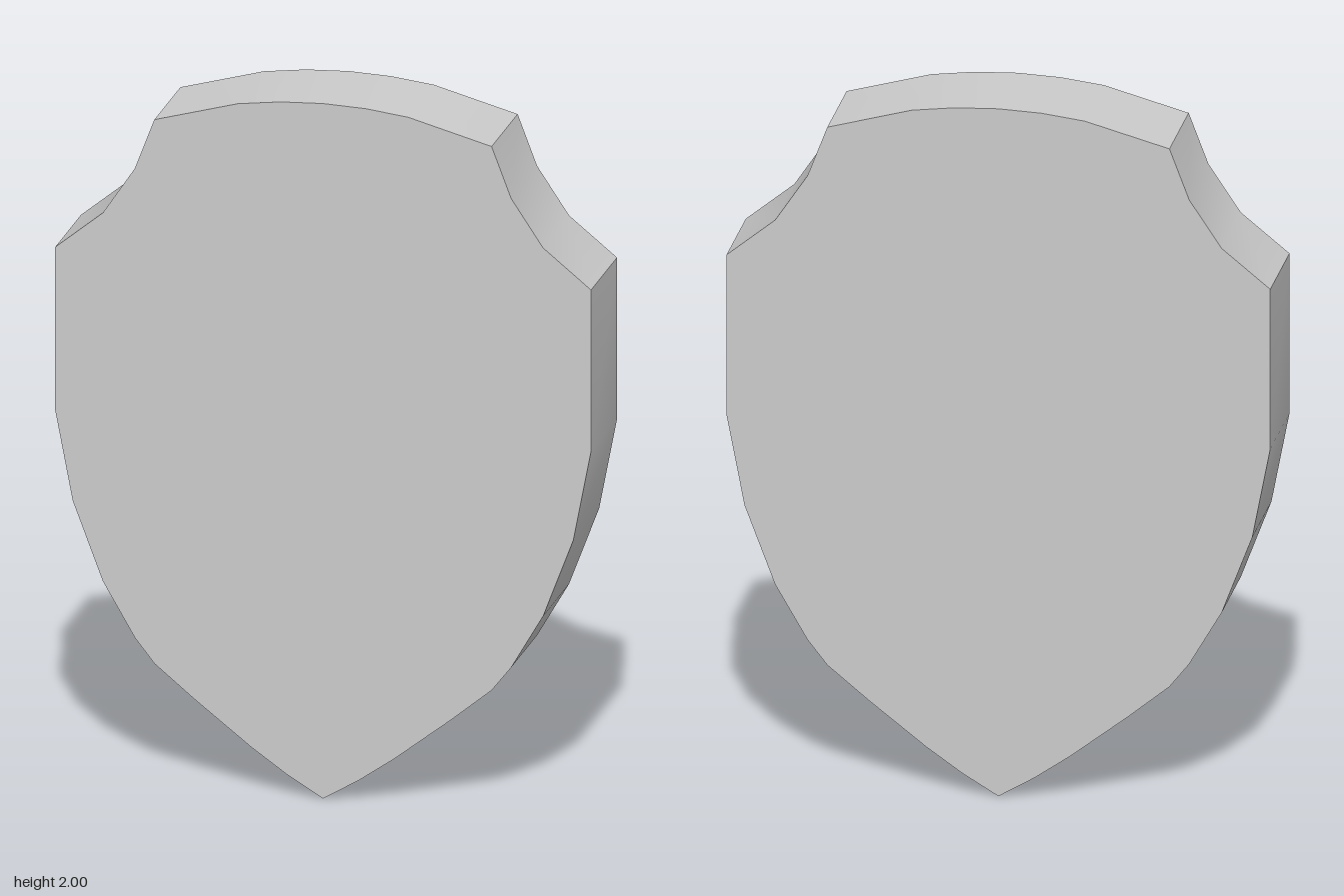
import * as THREE from 'three';
import { toCreasedNormals } from 'three/addons/utils/BufferGeometryUtils.js';

export function createModel() {
  const group = new THREE.Group();
  group.name = 'shield';

  // Left half of the outline, from the bottom tip to just before the top centre
  const half = [
    [0.1, 0.06], [0.2, 0.13], [0.36, 0.255], [0.475, 0.35], [0.53, 0.42],
    [0.62, 0.575], [0.705, 0.8], [0.755, 1.06], [0.755, 1.525], // curved flank
    [0.62, 1.635], [0.53, 1.77], [0.475, 1.915], // scooped shoulder
    [0.24, 1.98], [0.12, 1.995], // arched top
  ];
  const mirrored = half.map(([x, y]) => [-x, y]).reverse();
  const outline = [[0, 0], ...half, [0, 2], ...mirrored];
  const shape = new THREE.Shape(outline.map(([x, y]) => new THREE.Vector2(x, y)));

  // Flat slab with smooth curves and sharp corners
  const depth = 0.29;
  const slab = new THREE.ExtrudeGeometry(shape, { depth, bevelEnabled: false });
  slab.translate(0, 0, -depth / 2);

  const body = new THREE.Mesh(
    toCreasedNormals(slab, 0.5),
    new THREE.MeshStandardMaterial({ color: 0xcccccc })
  );
  body.name = 'shieldBody';
  group.add(body);
  return group;
}
